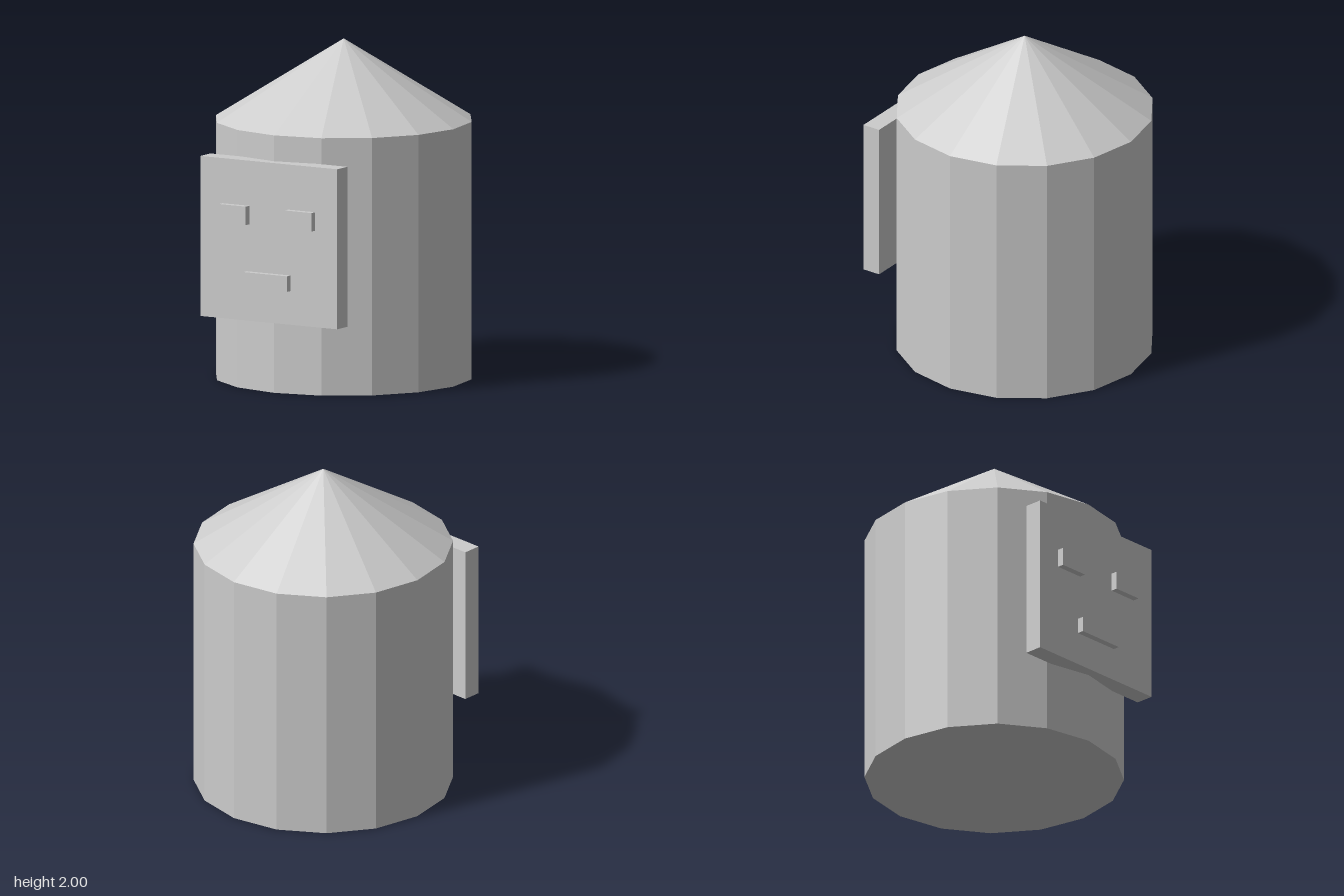
import * as THREE from 'three';

const RADIUS = 0.76, WALL = 1.525, TOP = 2, AXIS_Z = -0.05, SIDES = 16;

export function createModel() {
  const model = new THREE.Group();
  model.name = 'towerWithFace';
  const grey = new THREE.MeshStandardMaterial({ color: 0xcccccc });
  grey.name = 'light grey';

  // Adds a faceted part centred at x, y, z
  const add = (name, geometry, x, y, z) => {
    const faceted = geometry.index ? geometry.toNonIndexed() : geometry;
    faceted.computeVertexNormals();
    const mesh = new THREE.Mesh(faceted, grey);
    mesh.name = name;
    mesh.position.set(x, y, z);
    model.add(mesh);
  };

  // Sixteen-sided body and pointed roof
  add('body', new THREE.CylinderGeometry(RADIUS, RADIUS, WALL, SIDES), 0, WALL / 2, AXIS_Z);
  add('roof', new THREE.ConeGeometry(RADIUS, TOP - WALL, SIDES, 1, true), 0, (WALL + TOP) / 2, AXIS_Z);

  // Square face plate, partly sunk into the front of the body
  add('facePlate', new THREE.BoxGeometry(0.948, 0.948, 0.112), 0, 0.898, 0.714);

  // Raised eyes and mouth
  for (const [name, side] of [['leftEye', 1], ['rightEye', -1]]) {
    add(name, new THREE.BoxGeometry(0.187, 0.11, 0.04), side * 0.228, 1.05, 0.79);
  }
  add('mouth', new THREE.BoxGeometry(0.305, 0.092, 0.04), 0, 0.67, 0.79);

  return model;
}
